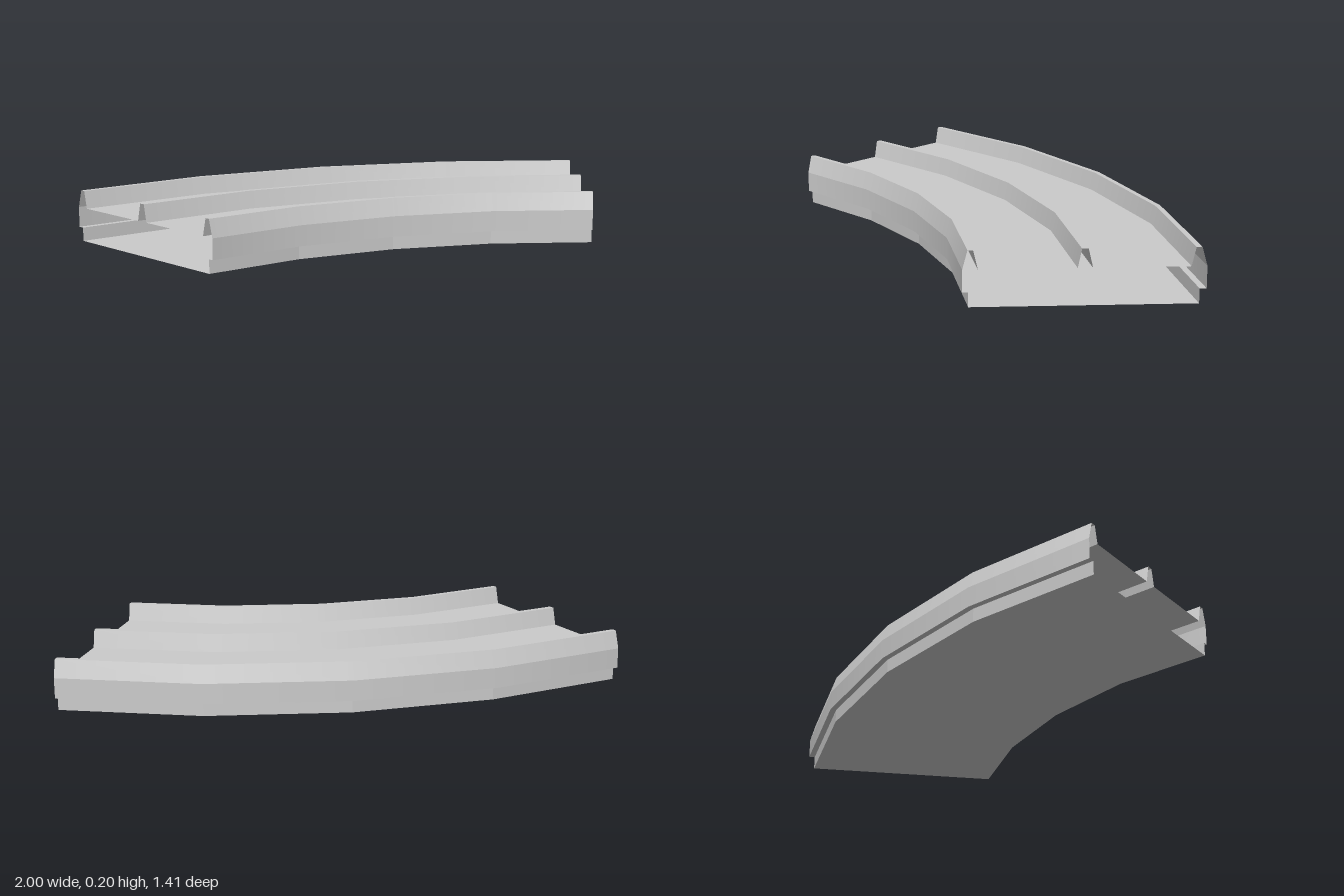
import * as THREE from 'three';
import { mergeGeometries } from 'three/addons/utils/BufferGeometryUtils.js';

const SEGMENTS = 4;
const CENTRE = [1, 0, 2.121]; // centre of the bend
const DECK = 0.132, TOP = 0.2, SHELF = 0.053;
const OUTER = 2.829, INNER = 2.0;

// Sweep a (radius, height) profile through 45 degrees, keeping profile corners sharp
function sweep(name, profile, flat = false) {
  const strips = [];
  for (let i = 0; i < profile.length - 1; i++) {
    const pair = [profile[i], profile[i + 1]].map(([r, y]) => new THREE.Vector2(r, y));
    strips.push(new THREE.LatheGeometry(pair, SEGMENTS, Math.PI, Math.PI / 4));
  }
  const material = new THREE.MeshStandardMaterial({
    color: 0xcccccc, flatShading: flat, side: THREE.DoubleSide,
  });
  const mesh = new THREE.Mesh(mergeGeometries(strips), material);
  mesh.name = name;
  mesh.position.set(...CENTRE);
  return mesh;
}

// Tapered ridge, listed from its outer foot to its inner foot
const ridge = (a, b, c, d) => [[a, DECK], [b, TOP], [c, TOP], [d, DECK]];

export function createModel() {
  const group = new THREE.Group();
  group.name = 'curvedTrack';

  // Outer side walls with the overhanging lip
  group.add(sweep('outerSide', [[2.805, SHELF], [OUTER, SHELF], [OUTER, DECK]]));
  group.add(sweep('innerSide', [[INNER, DECK], [INNER, SHELF], [2.02, SHELF]]));

  // Three hollow ridges
  group.add(sweep('outerRail', ridge(OUTER, 2.81, 2.79, 2.775)));
  group.add(sweep('middleRail', ridge(2.441, 2.425, 2.403, 2.389)));
  group.add(sweep('innerRail', ridge(2.053, 2.037, 2.018, INNER)));

  // Two lanes between the ridges
  group.add(sweep('outerLane', [[2.775, DECK], [2.441, DECK]]));
  group.add(sweep('innerLane', [[2.389, DECK], [2.053, DECK]]));

  // Recessed base, open at both ends
  group.add(sweep('base', [[2.02, SHELF], [2.02, 0], [2.805, 0], [2.805, SHELF]], true));

  return group;
}
